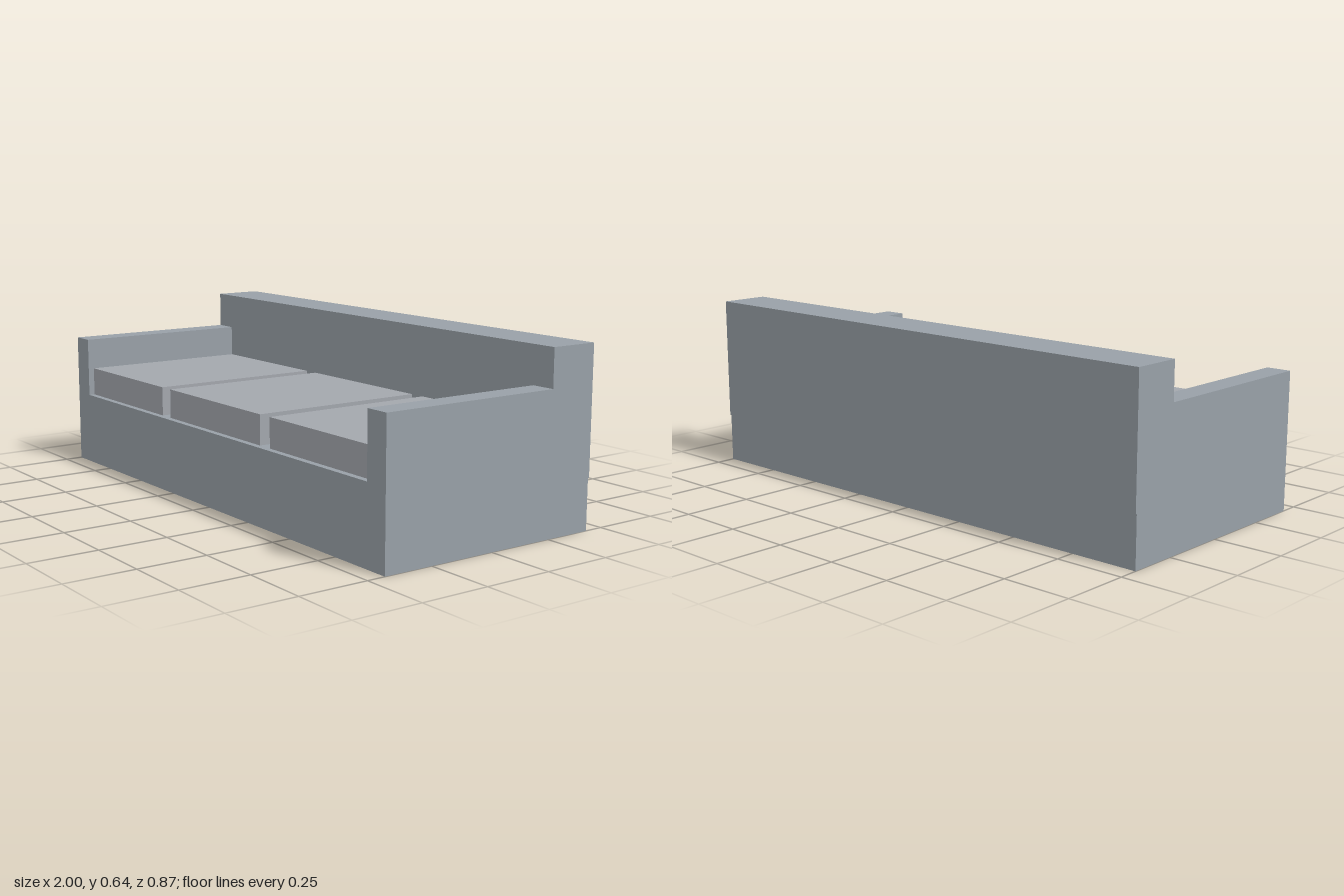
import * as THREE from 'three';

const frameMaterial = new THREE.MeshStandardMaterial({ color: 0x98a0a7 });
const cushionMaterial = new THREE.MeshStandardMaterial({ color: 0xa3a7ad });

// Box given by its lower and upper limits on each axis
function box(name, material, [x0, x1], [y0, y1], [z0, z1]) {
  const mesh = new THREE.Mesh(new THREE.BoxGeometry(x1 - x0, y1 - y0, z1 - z0), material);
  mesh.position.set((x0 + x1) / 2, (y0 + y1) / 2, (z0 + z1) / 2);
  mesh.name = name;
  return mesh;
}

export function createModel() {
  const sofa = new THREE.Group();
  sofa.name = 'sofa';

  const armInner = 0.91, armTop = 0.5, seatTop = 0.275;
  const front = 0.434, back = -0.434, backrestFront = -0.252;

  // Base and both arms: one U-shaped section run from front to back
  const section = new THREE.Shape([
    [-1, 0], [1, 0], [1, armTop], [armInner, armTop],
    [armInner, seatTop], [-armInner, seatTop], [-armInner, armTop], [-1, armTop],
  ].map(([x, y]) => new THREE.Vector2(x, y)));
  const bodyBack = back + 0.005;
  const body = new THREE.Mesh(
    new THREE.ExtrudeGeometry(section, { depth: front - bodyBack, bevelEnabled: false }), frameMaterial);
  body.position.z = bodyBack;
  body.name = 'baseAndArms';
  sofa.add(body);

  // Full-width backrest, standing slightly proud of the base at the rear
  sofa.add(box('backrest', frameMaterial, [-1, 1], [0.182, 0.636], [back, backrestFront]));

  // Three seat cushions with gaps between them
  const cushions = [
    ['rightCushion', [-armInner, -0.356]],
    ['middleCushion', [-0.298, 0.298]],
    ['leftCushion', [0.356, armInner]],
  ];
  for (const [name, span] of cushions) {
    sofa.add(box(name, cushionMaterial, span, [seatTop, 0.382], [backrestFront, 0.411]));
  }

  return sofa;
}
